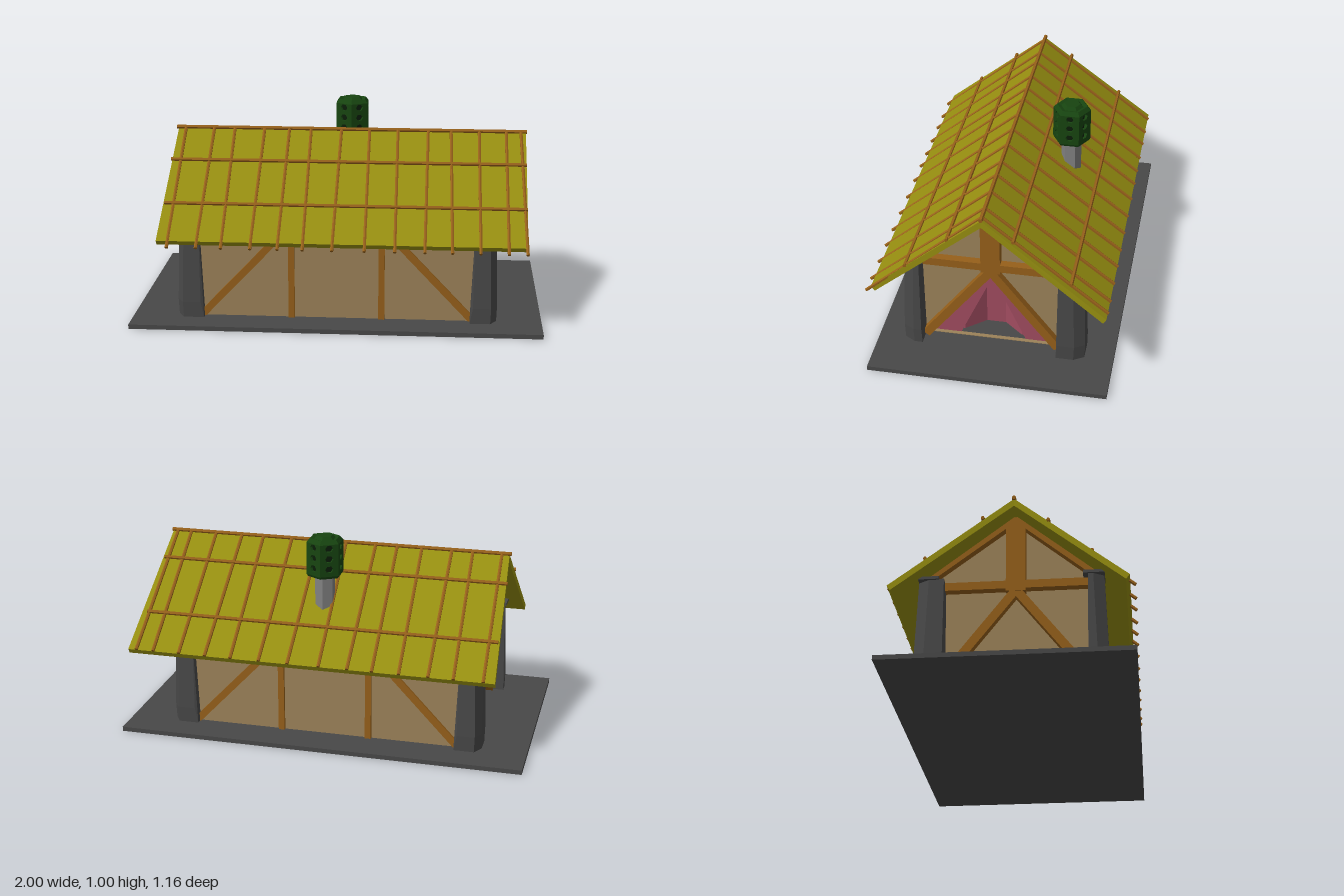
import * as THREE from 'three';
import { ConvexGeometry } from 'three/addons/geometries/ConvexGeometry.js';

const mat = (color) => new THREE.MeshStandardMaterial({ color, flatShading: true, side: THREE.DoubleSide });
const V = (x, y, z) => new THREE.Vector3(x, y, z);

export function createModel() {
  const model = new THREE.Group();
  const stone = mat(0x484848), thatch = mat(0x968e10), wood = mat(0x96601a), plaster = mat(0x9c8259);
  const cloth = mat(0xa04c60), iron = mat(0x174410), pipe = mat(0x808080), soot = mat(0x0a1c08);

  const add = (name, geometry, material, parent = model) => {
    const mesh = new THREE.Mesh(geometry, material);
    mesh.name = name;
    parent.add(mesh);
    return mesh;
  };
  const group = (name) => {
    const g = new THREE.Group();
    g.name = name;
    model.add(g);
    return g;
  };
  const box = (name, x0, x1, y0, y1, z0, z1, material, parent) => {
    const m = add(name, new THREE.BoxGeometry(x1 - x0, y1 - y0, z1 - z0), material, parent);
    m.position.set((x0 + x1) / 2, (y0 + y1) / 2, (z0 + z1) / 2);
    return m;
  };
  // Square timber from a to b; w is its horizontal width, h its other width
  const beam = (name, a, b, w, h, parent) => {
    const m = add(name, new THREE.BoxGeometry(w, h, a.distanceTo(b)), wood, parent);
    m.position.copy(a).lerp(b, 0.5);
    m.lookAt(b);
    return m;
  };
  // Thin round stick from a to b
  const stick = (name, a, b, r, parent) => {
    const m = add(name, new THREE.CylinderGeometry(r, r, a.distanceTo(b), 6), wood, parent);
    m.position.copy(a).lerp(b, 0.5);
    m.quaternion.setFromUnitVectors(V(0, 1, 0), b.clone().sub(a).normalize());
    return m;
  };
  const polygon = (pts) => new THREE.Shape(pts.map(([x, y]) => new THREE.Vector2(x, y)));

  // Ground slab
  box('base', -1, 1, 0, 0.022, -0.58, 0.57, stone);

  // Long walls with posts, plates and corner braces
  const walls = group('walls');
  for (const s of [1, -1]) {
    const z = 0.39 * s;
    box('longWall', -0.68, 0.68, 0.02, 0.5, z - 0.01, z + 0.01, plaster, walls);
    beam('wallPlate', V(-0.7, 0.485, z), V(0.7, 0.485, z), 0.05, 0.035, walls);
    for (const t of [1, -1]) {
      box('wallPost', 0.22 * t - 0.015, 0.22 * t + 0.015, 0.02, 0.48, z - 0.025, z + 0.025, wood, walls);
      beam('wallBrace', V(0.66 * t, 0.03, z), V(0.235 * t, 0.48, z), 0.045, 0.035, walls);
    }
  }

  // Gable ends; the +x one has a triangular doorway
  for (const s of [1, -1]) {
    const end = group(s > 0 ? 'doorGable' : 'rearGable');
    const shape = polygon([[-0.4, 0.02], [0.4, 0.02], [0.4, 0.51], [0.02, 0.84], [-0.4, 0.51]]);
    if (s > 0) shape.holes.push(polygon([[0.35, 0.025], [0.02, 0.46], [-0.31, 0.025]]));
    const geo = new THREE.ExtrudeGeometry(shape, { depth: 0.02, bevelEnabled: false });
    geo.rotateY(-Math.PI / 2).translate(0.68 * s + 0.01, 0, 0);
    add('gableWall', geo, plaster, end);
    const x = 0.7 * s;
    box('tieBeam', x - 0.03, x + 0.03, 0.462, 0.502, -0.43, 0.43, wood, end);
    box('kingPost', x - 0.03, x + 0.03, 0.45, 0.835, -0.027, 0.066, wood, end);
    beam('doorBrace', V(x, 0.035, 0.345), V(x, 0.475, 0.005), 0.055, 0.042, end);
    beam('doorBrace', V(x, 0.035, -0.305), V(x, 0.475, 0.035), 0.055, 0.042, end);
    beam('rafter', V(x, 0.835, 0.02), V(x, 0.495, 0.425), 0.06, 0.035, end);
    beam('rafter', V(x, 0.835, 0.02), V(x, 0.5, -0.425), 0.06, 0.035, end);
  }

  // Leaning stone corner pillars with thin caps
  const pillars = group('pillars');
  for (const s of [1, -1]) for (const t of [1, -1]) {
    const pts = [];
    for (const [y, out, inn] of [[0.02, 0.005, 0.02], [0.1, 0.008, 0.005], [0.3, 0, 0], [0.505, -0.005, 0]]) {
      const x1 = 0.775 + out, z1 = 0.435 + out, x0 = 0.67 - inn, z0 = (t > 0 ? 0.355 : 0.31) - inn / 4;
      for (const [x, z] of [[x0, z0], [x1, z0], [x1, z1 - 0.05], [x1 - 0.03, z1], [x0, z1]])
        pts.push(V(x * s, y, z * t));
    }
    add('cornerPillar', new ConvexGeometry(pts), stone, pillars);
    const cap = box('pillarCap', -0.06, 0.06, 0, 0.014, -0.05, 0.05, stone, pillars);
    cap.position.set(0.72 * s, 0.508, 0.383 * t);
  }

  // Door curtains: two drawn flaps in front of a pleated sheet
  const curtains = group('curtains');
  for (const s of [1, -1]) {
    const flap = polygon([[0, 0.46], [0.33 * s, 0.025], [0.16 * s, 0.025], [0, 0.385]]);
    add('curtainFlap', new THREE.ShapeGeometry(flap).rotateY(-Math.PI / 2).translate(0.672, 0, 0.02), cloth, curtains);
  }
  const strip = [], index = [];
  const folds = [[0.35, 0.64], [0.168, 0.64], [0.073, 0.56], [0.02, 0.56], [-0.022, 0.56], [-0.115, 0.64], [-0.31, 0.64]];
  folds.forEach(([z, x], i) => {
    strip.push(x, 0.022, z, x, 0.46 - 0.435 * Math.abs(z - 0.02) / 0.33, z);
    if (i) index.push(2 * i - 2, 2 * i, 2 * i - 1, 2 * i, 2 * i + 1, 2 * i - 1);
  });
  const pleats = new THREE.BufferGeometry();
  pleats.setAttribute('position', new THREE.Float32BufferAttribute(strip, 3));
  pleats.setIndex(index);
  pleats.computeVertexNormals();
  add('pleatedCurtain', pleats, cloth, curtains);

  // Two roof slopes, a little wider at the eaves, tied down with sticks
  const columns = [-0.8, -0.66, -0.54, -0.4, -0.27, -0.15, -0.01, 0.144, 0.288, 0.43, 0.56, 0.693, 0.825, 0.912];
  const slopes = [
    { name: 'front', eaveX: [-0.855, 0.915], eave: [0.443, 0.548], under: [0.42, 0.53],
      tip: [0.417, 0.572], purlins: [0.18, 0.38] },
    { name: 'back', eaveX: [-0.855, 0.955], eave: [0.437, -0.56], under: [0.413, -0.545],
      tip: [0.441, -0.563], purlins: [-0.125, -0.39] },
  ];
  for (const { name, eaveX, eave, under, tip, purlins } of slopes) {
    const roof = group(name + 'Roof');
    const pts = [];
    [-0.825, 0.915].forEach((x, i) => pts.push(
      V(x, 0.882, 0.02), V(x, 0.845, 0.02), V(eaveX[i], ...eave), V(eaveX[i], ...under)));
    add('thatch', new ConvexGeometry(pts), thatch, roof);
    columns.forEach((x, i) => {
      const lean = 0.008 * Math.sin(i * 2.3);
      stick('batten', V(x * 0.985 + lean, 0.885, 0.02), V(x, ...tip), 0.0085, roof);
    });
    for (const z of purlins) {
      const k = (z - 0.02) / (tip[1] - 0.02);
      const y = 0.891 + (tip[0] - 0.885) * k;
      stick('purlin', V(-0.84, y, z), V(0.915, y, z), 0.009, roof);
    }
  }
  stick('ridgePole', V(-0.835, 0.885, 0.02), V(0.92, 0.885, 0.02), 0.01, model);

  // Six-sided chimney with a pierced cowl
  const chimney = group('chimney');
  chimney.position.set(0.035, 0, -0.255);
  add('flue', new THREE.CylinderGeometry(0.05, 0.05, 0.25, 6), pipe, chimney).position.y = 0.685;
  const lathe = (name, pts) => add(name,
    new THREE.LatheGeometry(pts.map(([x, y]) => new THREE.Vector2(x, y)), 6), iron, chimney);
  lathe('cowlBottom', [[0, 0.8], [0.086, 0.8], [0.0925, 0.812]]);
  lathe('cowlTop', [[0.0925, 0.972], [0.075, 0.991], [0.055, 0.985], [0.04, 1], [0, 1]]);
  add('cowlCore', new THREE.CylinderGeometry(0.06, 0.06, 0.17, 6), soot, chimney).position.y = 0.892;
  const panel = polygon([[-0.04625, 0.812], [0.04625, 0.812], [0.04625, 0.972], [-0.04625, 0.972]]);
  for (const y of [0.848, 0.9, 0.952]) {
    const hole = [];
    for (let i = 0; i < 6; i++) hole.push([0.02 * Math.cos(i * Math.PI / 3), y + 0.018 * Math.sin(i * Math.PI / 3)]);
    panel.holes.push(polygon(hole));
  }
  const panelGeo = new THREE.ExtrudeGeometry(panel, { depth: 0.012, bevelEnabled: false }).translate(0, 0, 0.0681);
  for (let i = 0; i < 6; i++)
    add('cowlPanel', panelGeo, iron, chimney).rotation.y = Math.PI / 6 + i * Math.PI / 3;

  return model;
}
